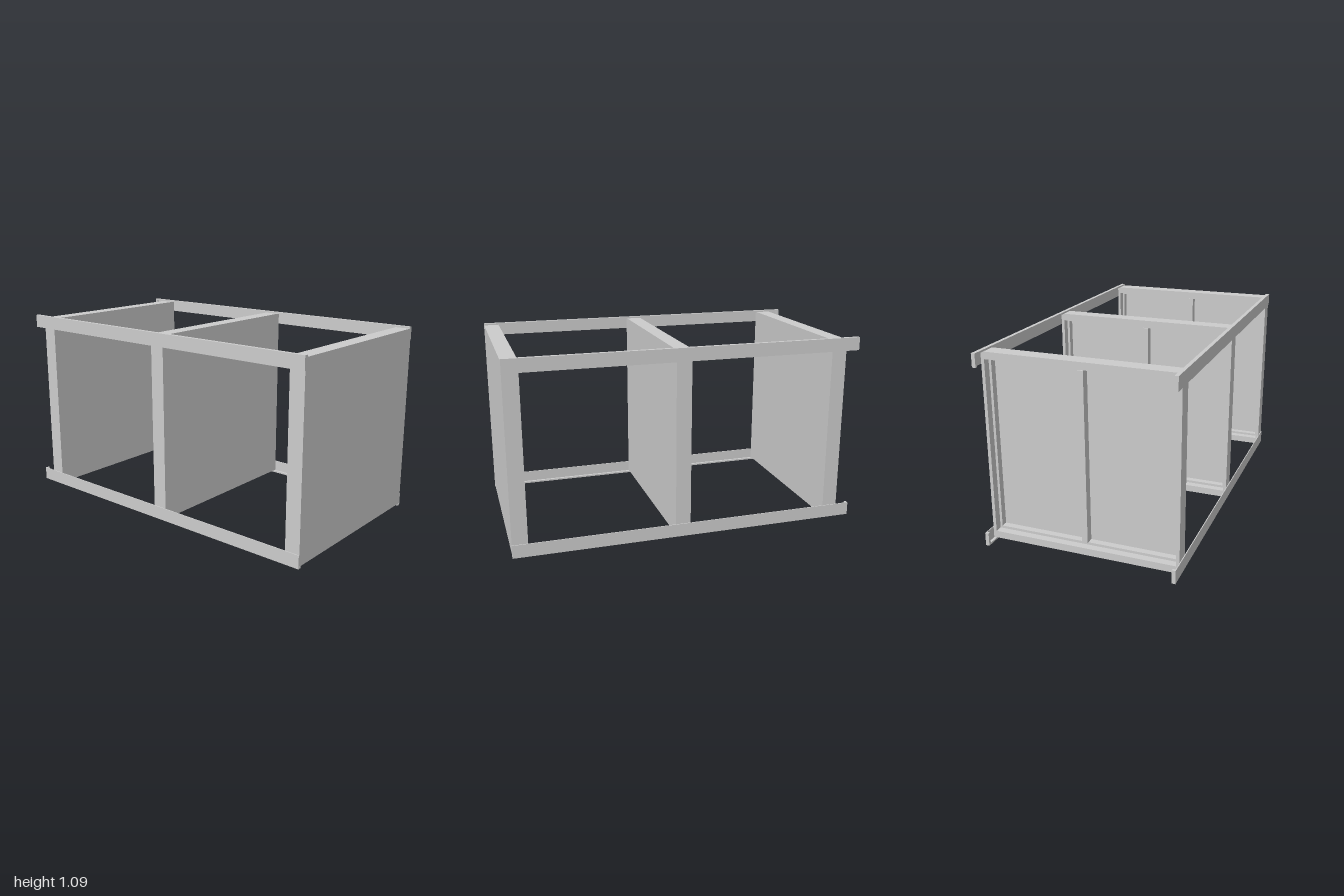
import * as THREE from 'three';

const material = new THREE.MeshStandardMaterial({ color: 0xcccccc, flatShading: true });

// Box given by its minimum and maximum along each axis
function box(parent, name, [x0, x1], [y0, y1], [z0, z1]) {
  const mesh = new THREE.Mesh(new THREE.BoxGeometry(x1 - x0, y1 - y0, z1 - z0), material);
  mesh.name = name;
  mesh.position.set((x0 + x1) / 2, (y0 + y1) / 2, (z0 + z1) / 2);
  parent.add(mesh);
  return mesh;
}

const HALF = 0.538;           // half width of a bulkhead
const LOW = 0.012, HIGH = 1.075; // bottom and top of a bulkhead
const DEPTH = 0.087;          // depth of a bulkhead

// Panel with a stepped frame behind it; local z = 0 is the panel's face
function createBulkhead() {
  const g = new THREE.Group();
  g.name = 'bulkhead';
  box(g, 'panel', [-HALF, HALF], [LOW, HIGH], [-0.008, 0]);
  const beam = 0.04, post = 0.018, step = 0.014;
  const back = [-DEPTH, -0.008], lip = [-0.045, -0.008];

  box(g, 'topBeam', [-HALF, HALF], [HIGH - beam, HIGH], back);
  box(g, 'bottomBeam', [-HALF, HALF], [LOW, LOW + beam], back);
  const inner = [LOW + beam, HIGH - beam];
  const innerX = HALF - post;
  box(g, 'topLip', [-innerX, innerX], [inner[1] - step, inner[1]], lip);
  box(g, 'bottomLip', [-innerX, innerX], [inner[0], inner[0] + step], lip);

  for (const s of [-1, 1]) {
    const span = (a, b) => [Math.min(s * a, s * b), Math.max(s * a, s * b)];
    box(g, 'sidePost', span(innerX, HALF), inner, back);
    box(g, 'sideLip', span(innerX - step, innerX), [inner[0] + step, inner[1] - step], lip);
  }
  box(g, 'middleStud', [-0.016, 0.016], [inner[0] + step, inner[1] - step], [-0.055, -0.008]);
  return g;
}

// Angle section along z, closed by a small plate at the back end
function createRail(side, top) {
  const g = new THREE.Group();
  g.name = (top ? 'top' : 'bottom') + (side > 0 ? 'Left' : 'Right') + 'Rail';
  const spanX = (a, b) => (side > 0 ? [a, b] : [-b, -a]);
  const spanY = (a, b) => (top ? [1.085 - b, 1.085 - a] : [a, b]);
  box(g, 'web', spanX(HALF, 0.543), spanY(0, 0.075), [-1, 1]);
  box(g, 'flange', spanX(0.522, HALF), spanY(0, 0.01), [-1, 1]);
  box(g, 'endPlate', spanX(0.522, HALF), spanY(0.01, 0.075), [-1, -0.985]);
  return g;
}

export function createModel() {
  const model = new THREE.Group();
  model.name = 'panelledFrame';

  // Three bulkheads, panels facing forward
  for (const z of [1, 0.085, -0.835]) {
    const bulkhead = createBulkhead();
    bulkhead.position.z = z;
    model.add(bulkhead);
  }

  // Four long corner rails
  for (const side of [-1, 1]) {
    for (const top of [false, true]) model.add(createRail(side, top));
  }
  return model;
}
